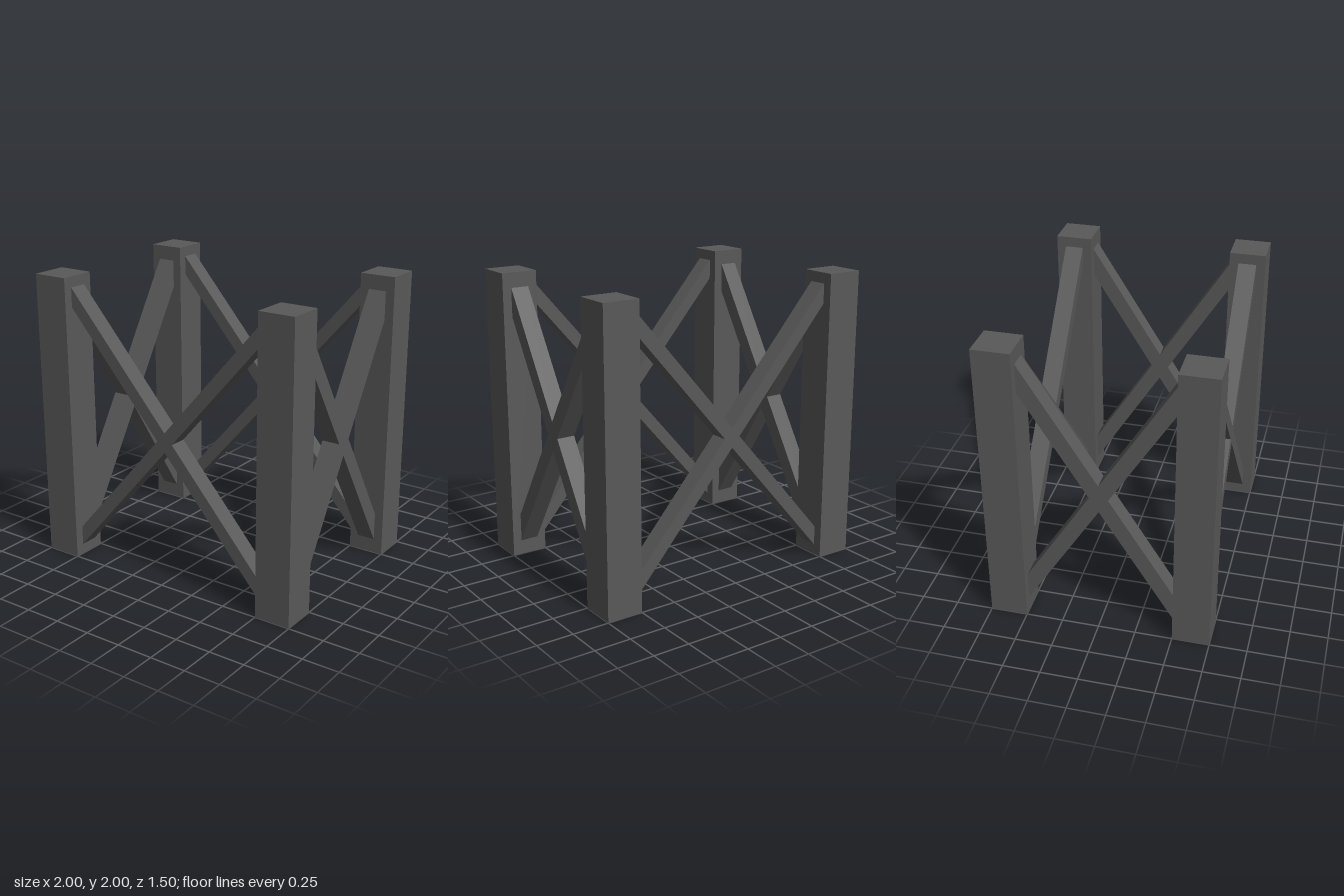
import * as THREE from 'three';

const POST = 0.25, HEIGHT = 2, DEPTH = 0.125;
const POST_X = 0.875, POST_Z = 0.625;

// X-shaped brace spanning +-w; slope is the bars' rise, t their vertical thickness
function crossBrace(w, slope, t) {
  const h = t / 2, rise = slope * w, notch = h / slope;
  const outline = [
    [-w, -rise - h], [0, -h], [w, -rise - h], [w, -rise + h],
    [notch, 0], [w, rise - h], [w, rise + h], [0, h],
    [-w, rise + h], [-w, rise - h], [-notch, 0], [-w, -rise + h],
  ].map(([x, y]) => new THREE.Vector2(x, y + HEIGHT / 2));
  const geometry = new THREE.ExtrudeGeometry(new THREE.Shape(outline), {
    depth: DEPTH, bevelEnabled: false,
  });
  return geometry.translate(0, 0, -DEPTH / 2);
}

export function createModel() {
  const group = new THREE.Group();
  const darkGrey = new THREE.MeshStandardMaterial({ color: 0x595959 });
  darkGrey.name = 'darkGrey';

  const add = (name, geometry, x, y, z) => {
    const mesh = new THREE.Mesh(geometry, darkGrey);
    mesh.name = name;
    mesh.position.set(x, y, z);
    group.add(mesh);
  };

  const postGeometry = new THREE.BoxGeometry(POST, HEIGHT, POST);
  const wideBrace = crossBrace(POST_X - POST / 2, 1.147, 0.135);
  const sideBrace = crossBrace(POST_Z - POST / 2, 1.6, 0.197).rotateY(Math.PI / 2);

  for (const s of [-1, 1]) {
    // Corner posts
    for (const f of [-1, 1]) {
      const name = (f > 0 ? 'front' : 'back') + (s > 0 ? 'Left' : 'Right') + 'Post';
      add(name, postGeometry, s * POST_X, HEIGHT / 2, f * POST_Z);
    }
    // Crossed braces between the posts
    add(s > 0 ? 'frontBrace' : 'backBrace', wideBrace, 0, 0, s * POST_Z);
    add(s > 0 ? 'leftBrace' : 'rightBrace', sideBrace, s * POST_X, 0, 0);
  }
  return group;
}
